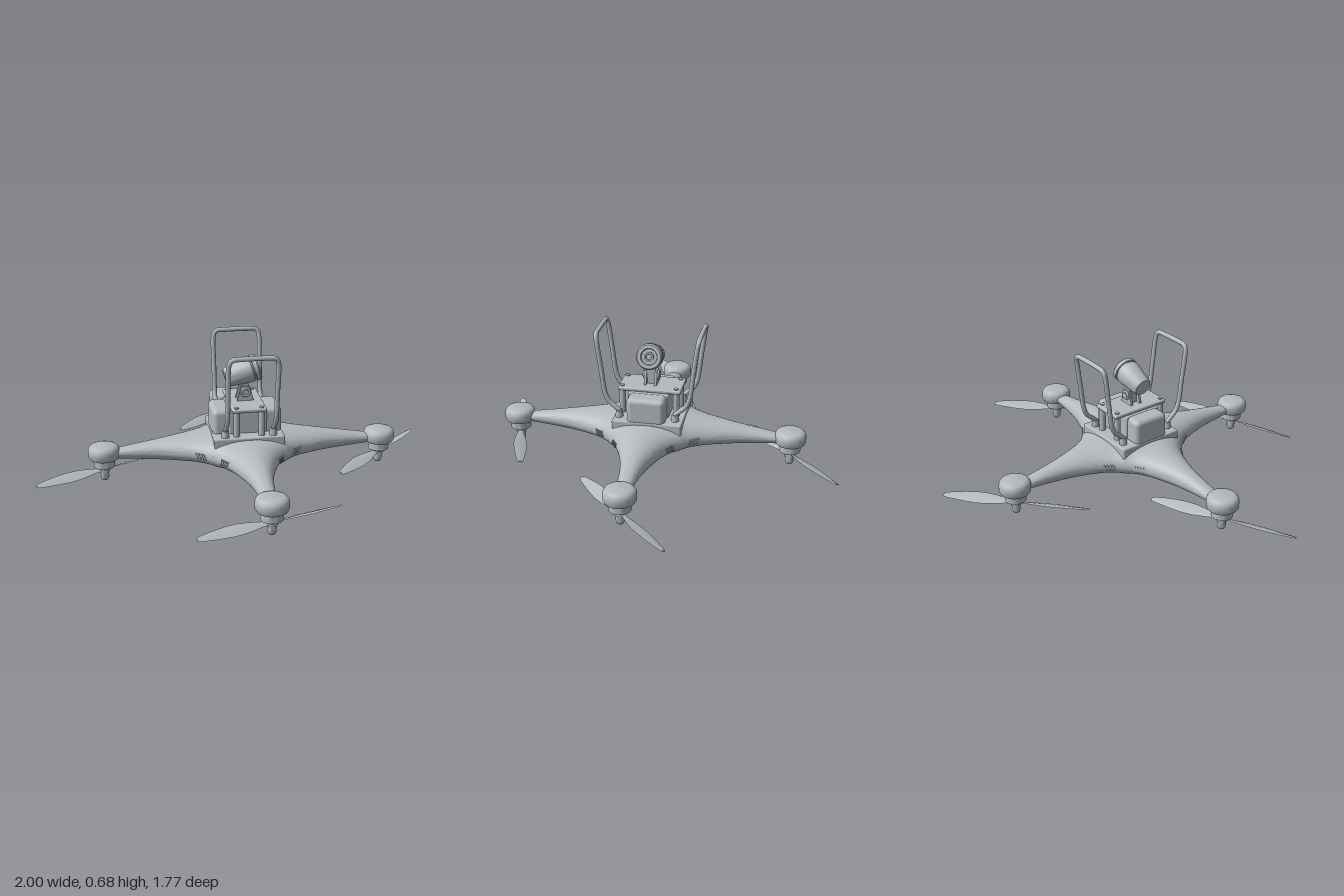
import * as THREE from 'three';
import { mergeGeometries, toCreasedNormals } from 'three/addons/utils/BufferGeometryUtils.js';
import { RoundedBoxGeometry } from 'three/addons/geometries/RoundedBoxGeometry.js';

const grey = new THREE.MeshStandardMaterial({ color: 0xb4bbc0 });
grey.name = 'pale grey';

function add(parent, name, geometry, x = 0, y = 0, z = 0) {
  const mesh = new THREE.Mesh(geometry, grey);
  mesh.name = name;
  mesh.position.set(x, y, z);
  parent.add(mesh);
  return mesh;
}

// Joins rings of [x, y, z] points into a skin with a cap on the last ring
function loft(rings) {
  const pos = [];
  const n = rings[0].length;
  for (let k = 0; k < rings.length - 1; k++) {
    for (let i = 0; i < n; i++) {
      const j = (i + 1) % n;
      const [a, b] = [rings[k], rings[k + 1]];
      pos.push(...a[i], ...a[j], ...b[i], ...a[j], ...b[j], ...b[i]);
    }
  }
  const end = rings[rings.length - 1];
  for (let i = 1; i < n - 1; i++) pos.push(...end[0], ...end[i], ...end[i + 1]);
  const g = new THREE.BufferGeometry();
  g.setAttribute('position', new THREE.Float32BufferAttribute(pos, 3));
  return g;
}

function lathe(points, segments = 36) {
  const g = new THREE.LatheGeometry(points.map(([r, y]) => new THREE.Vector2(r, y)), segments);
  return toCreasedNormals(g, 0.6);
}

// Half-width of an arm along its length; inside CORE the four arms meet on diagonals
const CORE = 0.185;
const widthCurve = new THREE.SplineCurve([
  [CORE, CORE], [0.21, 0.16], [0.24, 0.138], [0.28, 0.115], [0.35, 0.088],
  [0.42, 0.066], [0.5, 0.05], [0.6, 0.038], [0.67, 0.035],
].map(([r, w]) => new THREE.Vector2(r, w)));

function shellGeometry() {
  const rings = [];
  const steps = 20;
  const section = (r, limit, width) => {
    const top = 0.245 - 0.075 * Math.pow(r / 0.62, 1.5);
    const bottom = 0.07 + 0.045 * (r / 0.62);
    const seam = 0.15;
    const upper = [], lower = [];
    for (let i = 0; i <= steps; i++) {
      const lat = limit * Math.sin((i / steps - 0.5) * Math.PI);
      const h = Math.sqrt(Math.max(0, 1 - (lat / width) ** 2));
      upper.push([r, seam + (top - seam) * h, lat]);
      lower.unshift([r, seam + (bottom - seam) * h, lat]);
    }
    rings.push([...upper, ...lower]);
  };
  for (let i = 0; i < 12; i++) {
    const r = CORE * Math.sin((i / 12) * Math.PI / 2);
    section(r, r, CORE + 1.5 * (CORE - r));
  }
  for (let i = 0; i <= 32; i++) {
    const p = widthCurve.getPoint(i / 32);
    section(p.x, p.y, p.y);
  }
  const arm = loft(rings);
  const arms = [0, 1, 2, 3].map((k) => arm.clone().rotateY(k * Math.PI / 2));
  return toCreasedNormals(mergeGeometries(arms), 0.6);
}

// Twisted propeller blade pointing along +x: [radius, trailing edge, leading edge]
function bladeGeometry() {
  const keys = [
    [0.01, -0.012, 0.012], [0.05, -0.014, 0.017], [0.1, -0.022, 0.028], [0.15, -0.028, 0.035],
    [0.2, -0.029, 0.036], [0.26, -0.024, 0.031], [0.31, -0.018, 0.024], [0.35, -0.013, 0.016],
    [0.363, -0.009, 0.011],
  ];
  const pitch = 0.36;
  return toCreasedNormals(loft(keys.map(([r, a, b]) => {
    const m = (a + b) / 2;
    return [[r, a * pitch, a], [r, m * pitch + 0.004, m], [r, b * pitch, b], [r, m * pitch - 0.002, m]];
  })), 0.5);
}

export function createModel() {
  const model = new THREE.Group();
  model.name = 'quadcopter';
  const body = new THREE.Group();
  body.name = 'airframe';
  body.position.set(0.024, 0, 0.062);
  model.add(body);

  add(body, 'shell', shellGeometry());

  // Slanted vent slats beside every inner corner
  const slat = new THREE.BoxGeometry(0.006, 0.03, 0.012);
  for (let k = 0; k < 4; k++) {
    const side = new THREE.Group();
    side.name = 'vents';
    side.rotation.y = k * Math.PI / 2;
    for (const s of [-1, 1]) {
      for (let i = 0; i < 4; i++) {
        const p = widthCurve.getPoint(0.17 + i * 0.045);
        const vent = add(side, 'ventSlat', slat, p.x, 0.153, s * (p.y - 0.003));
        vent.rotation.set(0, s * 0.6, -0.45);
      }
    }
    body.add(side);
  }

  // Motor pods, motors and propellers
  const pod = lathe([[0, 0.117], [0.058, 0.117], [0.07, 0.122], [0.077, 0.133], [0.078, 0.16],
    [0.075, 0.174], [0.066, 0.185], [0.052, 0.19], [0, 0.191]]);
  const motor = lathe([[0, 0.076], [0.046, 0.076], [0.052, 0.08], [0.052, 0.12]]);
  const hub = lathe([[0, 0.003], [0.01, 0.005], [0.018, 0.012], [0.021, 0.022], [0.021, 0.052],
    [0.026, 0.052], [0.026, 0.078]], 24);
  const blade = bladeGeometry();
  for (const [x, z, angle] of [[0, -0.7, 0.744], [0.7, 0, 0.764], [-0.7, 0, 0.457], [0, 0.7, 0.313]]) {
    const unit = new THREE.Group();
    unit.name = 'rotorUnit';
    unit.position.set(x, 0, z);
    add(unit, 'motorPod', pod);
    add(unit, 'motor', motor);
    add(unit, 'propellerHub', hub);
    for (const turn of [0, Math.PI]) {
      add(unit, 'propellerBlade', blade, 0, 0.063, 0).rotation.y = angle + turn;
    }
    body.add(unit);
  }

  // Base block, equipment box and upper plate
  add(body, 'baseBlock', new RoundedBoxGeometry(0.346, 0.085, 0.346, 2, 0.008), 0, 0.205, -0.005);
  add(body, 'equipmentBox', new RoundedBoxGeometry(0.342, 0.14, 0.19, 4, 0.025), 0, 0.297, 0);
  add(body, 'equipmentCore', new RoundedBoxGeometry(0.19, 0.13, 0.205, 2, 0.01), 0, 0.305, 0);
  add(body, 'upperPlate', new RoundedBoxGeometry(0.17, 0.02, 0.315, 3, 0.008), 0, 0.38, -0.002);
  const post = new THREE.CylinderGeometry(0.016, 0.016, 0.135, 16);
  const screw = new THREE.CylinderGeometry(0.011, 0.011, 0.006, 16);
  const foot = new THREE.CylinderGeometry(0.017, 0.02, 0.04, 16);

  // Landing hoop: half path mirrored across x
  const half = [[0.118, 0.25, 0.137], [0.118, 0.278, 0.14], [0.118, 0.3, 0.162], [0.118, 0.325, 0.19],
    [0.118, 0.365, 0.209], [0.118, 0.5, 0.228], [0.118, 0.635, 0.246], [0.112, 0.66, 0.25],
    [0.097, 0.672, 0.252], [0.075, 0.674, 0.252]];
  const path = [...half, ...half.map(([x, y, z]) => [-x, y, z]).reverse()];
  const hoop = new THREE.TubeGeometry(
    new THREE.CatmullRomCurve3(path.map((p) => new THREE.Vector3(...p))), 120, 0.012, 10);
  for (const s of [-1, 1]) {
    add(body, 'landingHoop', hoop).rotation.y = s > 0 ? 0 : Math.PI;
    for (const t of [-1, 1]) {
      add(body, 'platePost', post, t * 0.062, 0.308, s * 0.135);
      add(body, 'plateScrew', screw, t * 0.062, 0.392, s * 0.135);
      add(body, 'hoopFoot', foot, t * 0.118, 0.262, s * 0.14);
    }
  }

  // Camera mount: two cheeks with a pivot knob
  const cheekShape = new THREE.Shape();
  cheekShape.moveTo(-0.042, 0);
  cheekShape.lineTo(0.042, 0);
  cheekShape.lineTo(0.022, 0.075);
  cheekShape.lineTo(-0.022, 0.075);
  const cheek = new THREE.ExtrudeGeometry(cheekShape, { depth: 0.012, bevelEnabled: false });
  for (const z of [-0.032, 0.02]) add(body, 'mountCheek', cheek, 0, 0.388, z);
  add(body, 'mountStem', new THREE.BoxGeometry(0.03, 0.09, 0.044), 0, 0.43, 0);
  add(body, 'pivotPin', new THREE.CylinderGeometry(0.014, 0.014, 0.084, 20), 0, 0.436, 0).rotation.x = Math.PI / 2;
  for (const z of [-0.036, 0.036]) add(body, 'pivotKnob', new THREE.TorusGeometry(0.02, 0.006, 8, 24), 0, 0.436, z);

  // Camera barrel pointing to +x and slightly up
  const camera = new THREE.Group();
  camera.name = 'camera';
  camera.position.set(-0.01, 0.53, 0);
  camera.rotation.z = -1.27;
  add(camera, 'barrel', lathe([[0, -0.092], [0.034, -0.092], [0.044, -0.088], [0.049, -0.078],
    [0.063, 0.02], [0.064, 0.045], [0.059, 0.047], [0.059, 0.053], [0.066, 0.055], [0.065, 0.074],
    [0.058, 0.082], [0.042, 0.082], [0.038, 0.072], [0, 0.072]]));
  add(camera, 'lens', lathe([[0.024, 0.07], [0.024, 0.084], [0.016, 0.084], [0.013, 0.078], [0, 0.08]], 24));
  body.add(camera);

  return model;
}
